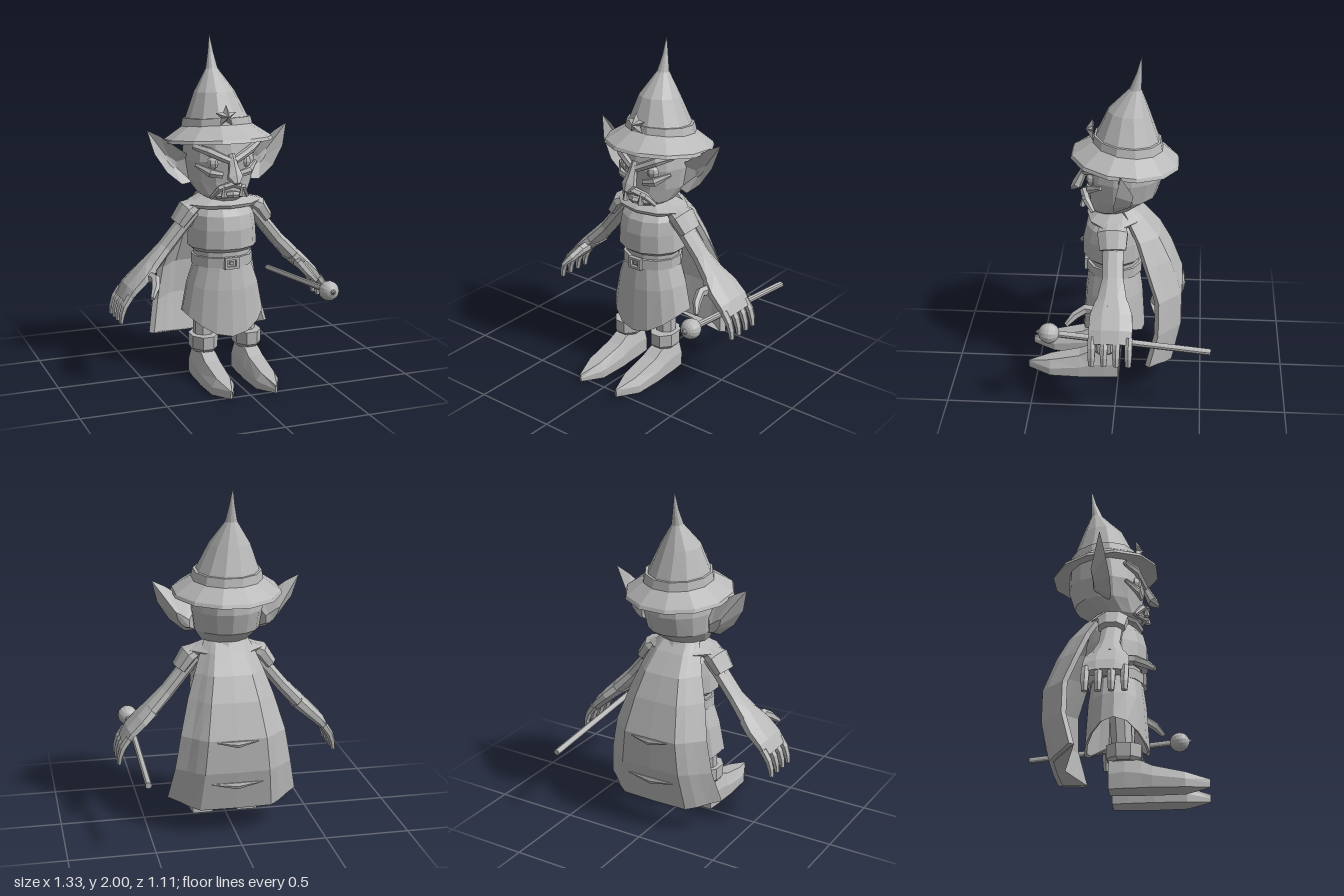
import * as THREE from 'three';

const clay = new THREE.MeshStandardMaterial({ color: 0xb8b8b8, flatShading: true, side: THREE.DoubleSide });
clay.name = 'plain grey';
const V = (x, y, z) => new THREE.Vector3(x, y, z);

// Skin joining a list of equal-length rings, wound so faces point outwards
function loft(rings, cap = true) {
  const n = rings[0].length, pts = rings.flat(), idx = [];
  for (let r = 0; r < rings.length - 1; r++) {
    for (let i = 0; i < n; i++) {
      const a = r * n + i, b = r * n + (i + 1) % n;
      idx.push(a, a + n, b + n, a, b + n, b);
    }
  }
  if (cap) {
    for (const r of [0, rings.length - 1]) {
      const c = rings[r].reduce((s, p) => s.add(p), V(0, 0, 0)).divideScalar(n);
      const k = pts.push(c) - 1;
      for (let i = 0; i < n; i++) {
        const a = r * n + i, b = r * n + (i + 1) % n;
        r ? idx.push(a, k, b) : idx.push(a, b, k);
      }
    }
  }
  const mid = pts.reduce((s, p) => s.add(p), V(0, 0, 0)).divideScalar(pts.length);
  let vol = 0;
  for (let i = 0; i < idx.length; i += 3) {
    const [a, b, c] = [0, 1, 2].map(j => pts[idx[i + j]].clone().sub(mid));
    vol += a.dot(b.cross(c));
  }
  if (vol < 0) idx.reverse();
  const g = new THREE.BufferGeometry().setFromPoints(pts);
  g.setIndex(idx);
  g.computeVertexNormals();
  return g;
}

// Level ellipse; tilt raises its front
function ring([x, y, z, rx, rz, tilt = 0], n = 12) {
  return Array.from({ length: n }, (_, i) => {
    const a = (i + 0.5) / n * Math.PI * 2, dz = Math.sin(a) * rz;
    return V(x + Math.cos(a) * rx, y + dz * tilt, z + dz);
  });
}
const stack = (rows, n = 12, cap = true) => loft(rows.map(r => ring(r, n)), cap);

// Tapered limb along [x, y, z, side radius, thickness radius] stations
function limb(st, side = V(0, 0, 1), n = 8) {
  const p = st.map(s => V(s[0], s[1], s[2]));
  return loft(st.map((s, k) => {
    const d = p[Math.min(k + 1, p.length - 1)].clone().sub(p[Math.max(k - 1, 0)]).normalize();
    const up = d.clone().cross(side).normalize(), sd = up.clone().cross(d);
    return Array.from({ length: n }, (_, i) => {
      const a = (i + 0.5) / n * Math.PI * 2;
      return p[k].clone().addScaledVector(sd, Math.cos(a) * s[3]).addScaledVector(up, Math.sin(a) * s[4]);
    });
  }));
}

export function createModel() {
  const model = new THREE.Group();
  model.name = 'hooded wizard';
  const add = (name, geo, parent = model) => {
    const m = new THREE.Mesh(geo, clay);
    m.name = name;
    parent.add(m);
    return m;
  };
  const X = V(1, 0, 0), Y = V(0, 1, 0);

  // Hat with a tilted brim, bulging cone and bent tip
  add('hat', stack([
    [0, 1.43, -0.04, 0.19, 0.19, 0.09], [0, 1.392, -0.03, 0.325, 0.32, 0.09], [0, 1.412, -0.03, 0.318, 0.31, 0.09],
    [0, 1.49, -0.04, 0.2, 0.2, 0.09], [-0.005, 1.54, -0.045, 0.18, 0.18, 0.09], [-0.015, 1.68, -0.05, 0.12, 0.122, 0.05],
    [-0.018, 1.81, -0.085, 0.036, 0.036], [-0.018, 1.9, -0.105, 0.017, 0.017], [-0.02, 2, -0.12, 0.002, 0.002]]));
  add('hatBand', stack([[0, 1.475, -0.045, 0.212, 0.208, 0.09], [-0.003, 1.53, -0.045, 0.2, 0.196, 0.09]]));

  // Five-pointed ornament with a raised centre
  const star = k => Array.from({ length: 10 }, (_, i) => {
    const a = Math.PI / 2 + i * Math.PI / 5, r = (i % 2 ? 0.03 : 0.066) * k;
    return V(-0.02 + Math.cos(a) * r, 1.56 + Math.sin(a) * r, 0.155 + (1 - k) * 0.045);
  });
  add('hatStar', loft([star(1), star(0.02)]));

  // Head and face
  add('head', stack([[0, 1.055, 0.09, 0.07, 0.06], [0, 1.1, 0.045, 0.145, 0.14], [0, 1.18, -0.015, 0.195, 0.2],
    [0, 1.3, -0.025, 0.212, 0.228], [0, 1.42, -0.035, 0.2, 0.215], [0, 1.5, -0.04, 0.15, 0.15]], 14));
  add('neck', stack([[0, 1.0, 0, 0.1, 0.09], [0, 1.12, 0, 0.1, 0.09]], 8));
  add('nose', limb([[0, 1.345, 0.19, 0.02, 0.02], [0, 1.28, 0.222, 0.03, 0.025], [0, 1.22, 0.25, 0.05, 0.032],
    [0, 1.19, 0.285, 0.018, 0.01]], X, 6));
  add('mouth', limb([[-0.11, 1.09, 0.15, 0.012, 0.015], [-0.07, 1.15, 0.19, 0.02, 0.025], [0, 1.175, 0.21, 0.02, 0.025],
    [0.07, 1.15, 0.19, 0.02, 0.025], [0.11, 1.09, 0.15, 0.012, 0.015]], Y, 6));
  add('lowerLip', limb([[-0.08, 1.1, 0.16, 0.015, 0.015], [0, 1.115, 0.205, 0.022, 0.022], [0.08, 1.1, 0.16, 0.015, 0.015]], Y, 6));

  // Torso, belt and skirt
  add('vest', stack([[0, 1.05, 0.02, 0.14, 0.12], [0, 0.98, 0.035, 0.19, 0.165], [0, 0.9, 0.035, 0.2, 0.185],
    [0, 0.79, 0.035, 0.208, 0.185], [0, 0.765, 0.03, 0.18, 0.155]]));
  add('collar', stack([[0, 1.11, 0, 0.11, 0.1], [0, 1.09, 0.01, 0.13, 0.12], [0, 1.045, 0.03, 0.235, 0.165], [0, 1.025, 0.03, 0.22, 0.155]], 10));
  add('waist', stack([[0, 0.66, 0.03, 0.17, 0.15], [0, 0.8, 0.03, 0.17, 0.15]]));
  add('belt', stack([[0, 0.675, 0.03, 0.183, 0.168], [0, 0.735, 0.03, 0.183, 0.168]]));
  const frame = new THREE.Shape([[-1, -1], [1, -1], [1, 1], [-1, 1]].map(([x, y]) => new THREE.Vector2(x * 0.044, y * 0.035)));
  frame.holes.push(new THREE.Path([[-1, -1], [-1, 1], [1, 1], [1, -1]].map(([x, y]) => new THREE.Vector2(x * 0.026, y * 0.02))));
  add('buckle', new THREE.ExtrudeGeometry(frame, { depth: 0.025, bevelEnabled: false })).position.set(0, 0.705, 0.185);
  add('bucklePin', new THREE.BoxGeometry(0.026, 0.016, 0.02)).position.set(0, 0.705, 0.195);

  const skirtRing = (y, rx, rz, drop) => Array.from({ length: 16 }, (_, i) => {
    const a = i / 16 * Math.PI * 2, s = Math.sin(a);
    return V(Math.cos(a) * rx, y - drop * s * s, 0.035 + s * rz);
  });
  add('skirt', loft([skirtRing(0.69, 0.172, 0.152, 0), skirtRing(0.56, 0.218, 0.172, 0.02),
    skirtRing(0.4, 0.252, 0.188, 0.135), skirtRing(0.41, 0.235, 0.172, 0.135), skirtRing(0.66, 0.15, 0.13, 0)], false));

  // Cape: rows of [height, back z, half width, forward wrap]
  const rows = [[1.11, -0.08, 0.13, 0.05], [1.05, -0.145, 0.16, 0.08], [0.94, -0.235, 0.205, 0.11], [0.8, -0.305, 0.255, 0.13],
    [0.6, -0.375, 0.31, 0.13], [0.4, -0.375, 0.345, 0.13], [0.16, -0.325, 0.385, 0.13]];
  const cols = [[-1, 1], [-0.82, 0.6], [-0.7, 0.28], [-0.55, 0], [0, -0.03], [0.55, 0], [0.7, 0.28], [0.82, 0.6], [1, 1]];
  const capePoint = ([y, z, w, d], [u, f], inset) => V(u * (w - inset), y + (y < 0.2 ? 0.045 * f : 0), z + d * f + inset);
  add('cape', loft(rows.map(r => [
    ...cols.map(c => capePoint(r, c, 0)),
    ...cols.slice().reverse().map(c => capePoint(r, c, 0.025))])));
  for (const [y, z, w] of [[0.59, -0.383, 0.12], [0.33, -0.365, 0.15]]) {
    add('capeFold', limb([[-w, y, z, 0.003, 0.003], [0, y - 0.015, z, 0.022, 0.014], [w, y, z, 0.003, 0.003]], Y, 6));
  }

  // Paired parts, shaped on the left and mirrored
  for (const s of [1, -1]) {
    const half = new THREE.Group();
    half.name = s > 0 ? 'leftSide' : 'rightSide';
    half.scale.x = s;
    model.add(half);
    const put = (name, geo) => add(name, geo, half);

    // Pointed ear with a hollow front
    const rim = [[0.17, 1.16, 0.0], [0.24, 1.155, 0.02], [0.33, 1.23, 0.02], [0.4, 1.34, 0], [0.435, 1.475, -0.03],
      [0.355, 1.435, -0.02], [0.22, 1.34, 0], [0.17, 1.31, 0]].map(p => V(...p));
    const fan = (c, k) => rim.map(p => p.clone().lerp(c, k));
    put('ear', loft([fan(V(0.28, 1.27, -0.055), 0.75), rim, fan(V(0.25, 1.22, -0.12), 0.7)]));

    put('brow', limb([[0.2, 1.39, 0.1, 0.018, 0.018], [0.13, 1.365, 0.165, 0.026, 0.022], [0.015, 1.31, 0.205, 0.022, 0.022]], Y, 6));
    put('eye', new THREE.SphereGeometry(0.04, 8, 6).translate(0.095, 1.295, 0.15));
    put('cheek', limb([[0.05, 1.225, 0.185, 0.02, 0.012], [0.12, 1.24, 0.17, 0.026, 0.02], [0.185, 1.28, 0.1, 0.01, 0.01]], Y, 6));
    put('tusk', new THREE.ConeGeometry(0.02, 0.075, 5).translate(0.055, 1.14, 0.215));

    // Layered shoulder, sleeve and flared hand
    put('shoulderPad', limb([[0.15, 1.045, 0.03, 0.07, 0.03], [0.215, 1.01, 0.03, 0.095, 0.055], [0.272, 0.93, 0.025, 0.082, 0.045]]));
    put('arm', limb([[0.18, 1.0, 0.03, 0.07, 0.05], [0.26, 0.9, 0.025, 0.065, 0.042], [0.35, 0.79, 0.02, 0.065, 0.043],
      [0.43, 0.705, 0.02, 0.09, 0.046], [0.47, 0.665, 0.02, 0.105, 0.046]]));
    put('hand', limb([[0.44, 0.69, 0.02, 0.1, 0.05], [0.5, 0.635, 0.02, 0.13, 0.045], [0.57, 0.57, 0.02, 0.135, 0.038],
      [0.615, 0.51, 0.02, 0.128, 0.024]]));
    for (const z of [0.125, 0.055, -0.015, -0.085]) {
      put('finger', limb([[0.59, 0.545, z, 0.024, 0.024], [0.628, 0.49, z, 0.025, 0.022], [0.645, 0.44, z, 0.023, 0.018],
        [0.652, 0.39, z, 0.018, 0.013]], V(0, 0, 1), 6));
    }
    put('thumb', limb([[0.47, 0.64, 0.09, 0.03, 0.035], [0.455, 0.645, 0.17, 0.028, 0.03], [0.475, 0.61, 0.23, 0.025, 0.026],
      [0.51, 0.565, 0.28, 0.013, 0.014]], X, 6));

    // Leg, boot cuff and long pointed boot
    put('leg', stack([[0.13, 0.2, 0.075, 0.062, 0.06], [0.125, 0.55, 0.06, 0.068, 0.07]], 8));
    put('bootCuff', stack([[0.137, 0.165, 0.085, 0.07, 0.085], [0.137, 0.185, 0.085, 0.083, 0.105],
      [0.137, 0.262, 0.085, 0.085, 0.108], [0.137, 0.262, 0.08, 0.062, 0.06]], 8));
    put('boot', loft([[0, 0.062, 0.17], [0.09, 0.07, 0.185], [0.18, 0.072, 0.165], [0.24, 0.076, 0.135],
      [0.42, 0.068, 0.095], [0.555, 0.006, 0.045]].map(([z, w, h]) =>
      [[-w, 0.0], [w, 0.0], [w, h * 0.5], [w * 0.6, h], [-w * 0.6, h], [-w, h * 0.5]].map(([x, y]) =>
        V(0.137 + x, z > 0.5 ? y + 0.015 : y, z)))));
  }

  // Wand held in the left hand, with a ball and small finial
  const wand = new THREE.Group();
  wand.name = 'wand';
  wand.position.set(0.543, 0.53, 0.375);
  wand.rotation.x = -Math.atan2(0.095, 0.93);
  model.add(wand);
  add('wandShaft', new THREE.CylinderGeometry(0.019, 0.019, 0.93, 10).rotateX(Math.PI / 2).translate(0, 0, -0.465), wand);
  add('wandBall', new THREE.SphereGeometry(0.06, 14, 10).rotateX(Math.PI / 2), wand);
  add('wandFinial', new THREE.ConeGeometry(0.022, 0.03, 8).rotateX(Math.PI / 2).translate(0, 0, 0.065), wand);

  return model;
}
